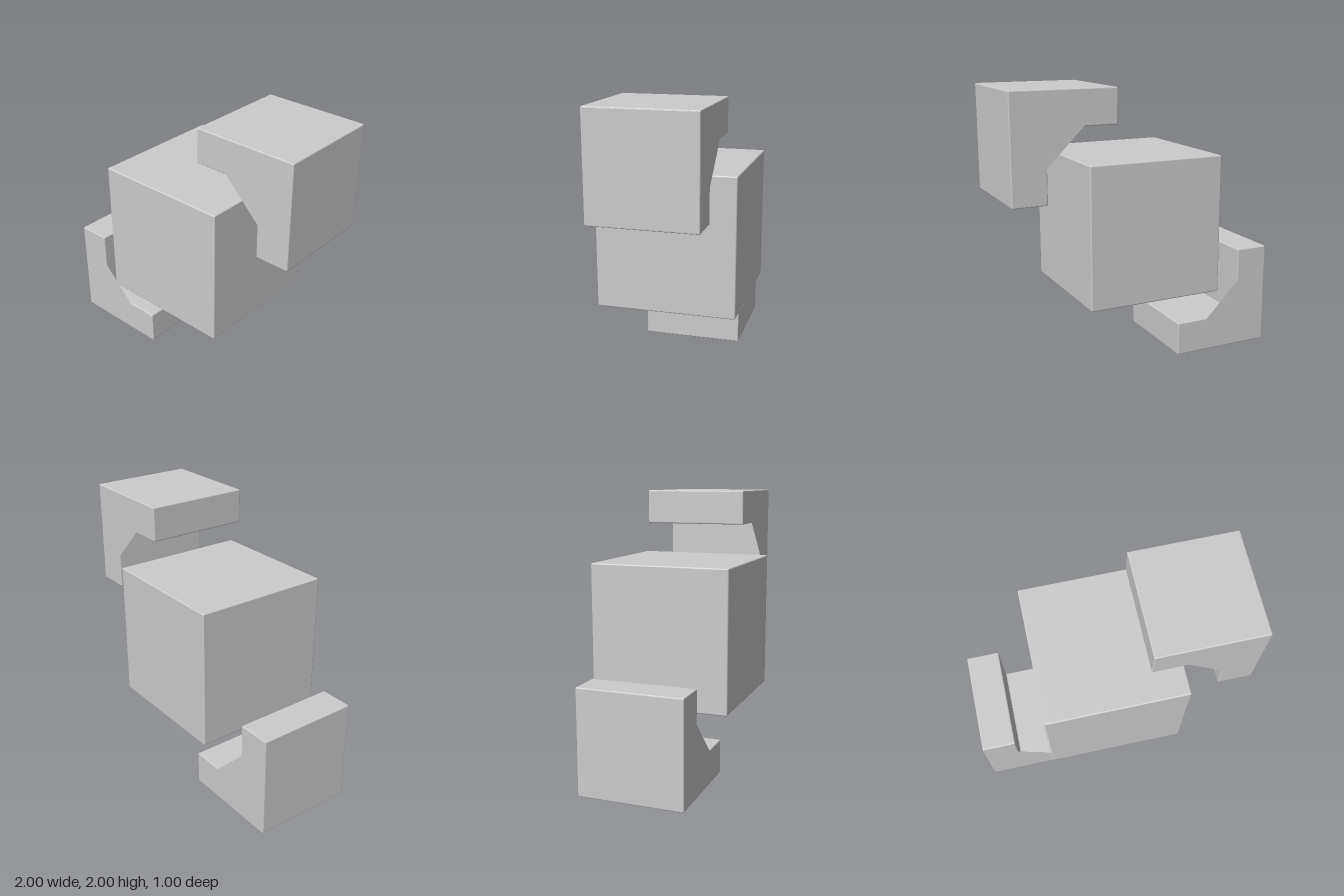
import * as THREE from 'three';
import { RoundedBoxGeometry } from 'three/addons/geometries/RoundedBoxGeometry.js';

const material = new THREE.MeshStandardMaterial({ color: 0xcccccc });
const ROUND = 0.01;

// Closed outline whose corners are all slightly rounded
function roundedOutline(points, r) {
  const shape = new THREE.Shape();
  const corners = points.map(([x, y]) => new THREE.Vector2(x, y));
  const n = corners.length;
  corners.forEach((c, i) => {
    const toward = (p) => c.clone().add(p.clone().sub(c).setLength(r));
    const a = toward(corners[(i + n - 1) % n]);
    const b = toward(corners[(i + 1) % n]);
    if (i === 0) shape.moveTo(a.x, a.y);
    else shape.lineTo(a.x, a.y);
    shape.quadraticCurveTo(c.x, c.y, b.x, b.y);
  });
  shape.closePath();
  return shape;
}

// L-shaped bracket with its outer corner at the origin, centred in depth
function bracketGeometry(size, thickness, depth) {
  const bevel = 0.008;
  const outline = roundedOutline([
    [0, 0], [size, 0], [size, thickness],
    [thickness, thickness], [thickness, size], [0, size],
  ], ROUND);
  const geometry = new THREE.ExtrudeGeometry(outline, {
    depth: depth - 2 * bevel,
    curveSegments: 3,
    bevelEnabled: true,
    bevelThickness: bevel,
    bevelSize: bevel,
    bevelOffset: -bevel,
    bevelSegments: 3,
  });
  return geometry.translate(0, 0, bevel - depth / 2);
}

export function createModel() {
  const model = new THREE.Group();
  model.name = 'cubeWithBrackets';

  // Central cube
  const cube = new THREE.Mesh(new RoundedBoxGeometry(1.005, 1.005, 1.005, 3, ROUND), material);
  cube.name = 'centralCube';
  cube.position.set(0.003, 1.007, 0);
  model.add(cube);

  // Two corner brackets, the upper one turned half way round
  const geometry = bracketGeometry(0.755, 0.248, 0.755);
  const lower = new THREE.Mesh(geometry, material);
  lower.name = 'lowerRightBracket';
  lower.position.set(-1, 0, 0);

  const upper = new THREE.Mesh(geometry, material);
  upper.name = 'upperLeftBracket';
  upper.position.set(1, 2, 0);
  upper.rotation.z = Math.PI;

  model.add(lower, upper);
  return model;
}
